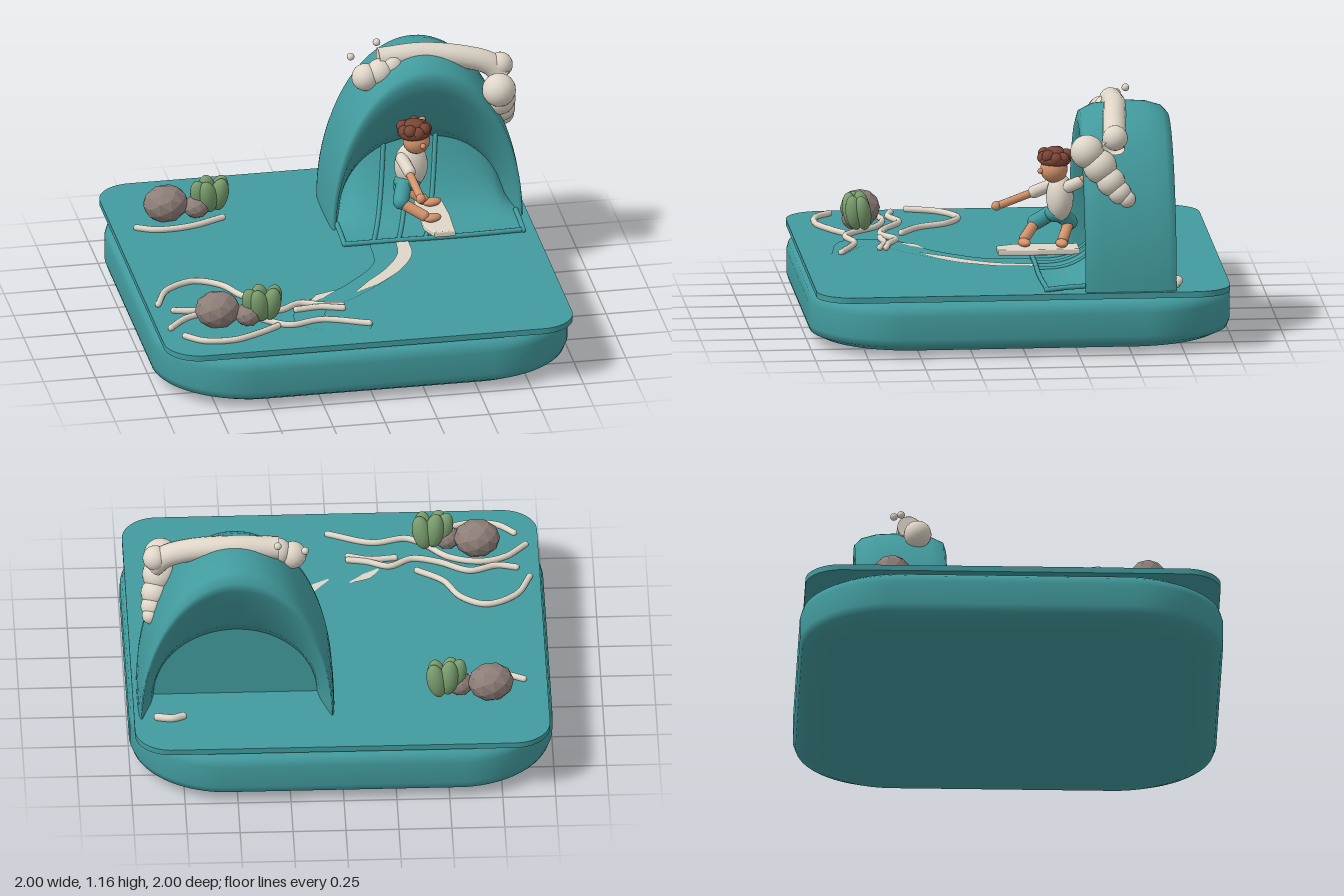
import * as THREE from 'three';
import { mergeVertices } from 'three/addons/utils/BufferGeometryUtils.js';

const paint = (name, color, side = THREE.FrontSide) => {
  const m = new THREE.MeshStandardMaterial({ color, side });
  m.name = name;
  return m;
};
const V = (p) => new THREE.Vector3(...p);

export function createModel() {
  const water = paint('water teal', 0x429b9e, THREE.DoubleSide);
  const foam = paint('foam cream', 0xdfd6c8, THREE.DoubleSide);
  const skin = paint('skin', 0xd4936c);
  const hair = paint('hair brown', 0x7a4636);
  const stone = paint('stone', 0x8e7e78);
  const leaf = paint('leaf green', 0x789c6c);
  const model = new THREE.Group();

  const group = (name, parent = model) => {
    const g = new THREE.Group();
    g.name = name;
    parent.add(g);
    return g;
  };
  const add = (parent, name, geo, mat) => {
    const m = new THREE.Mesh(geo, mat);
    m.name = name;
    parent.add(m);
    return m;
  };
  const ball = (parent, name, mat, p, r, rot = [0, 0, 0]) => {
    const m = add(parent, name, new THREE.SphereGeometry(1, 20, 14), mat);
    m.position.set(...p);
    m.scale.set(...(Array.isArray(r) ? r : [r, r, r]));
    m.rotation.set(...rot);
    return m;
  };
  const limb = (parent, name, mat, a, b, r) => {
    const d = V(b).sub(V(a));
    const m = add(parent, name, new THREE.CapsuleGeometry(r, d.length(), 5, 12), mat);
    m.position.copy(V(a)).addScaledVector(d, 0.5);
    m.quaternion.setFromUnitVectors(new THREE.Vector3(0, 1, 0), d.normalize());
    return m;
  };
  // Tube through points with rounded ends
  const rope = (parent, name, mat, pts, r) => {
    const curve = new THREE.CatmullRomCurve3(pts.map(V));
    add(parent, name, new THREE.TubeGeometry(curve, pts.length * 7, r, 10), mat);
    [pts[0], pts[pts.length - 1]].forEach((p) => ball(parent, name + 'End', mat, p, r));
  };
  // Smooth surface grid from a rule f(i, j) -> [x, y, z]
  const grid = (f, nu, nv) => {
    const pos = [], idx = [];
    for (let i = 0; i <= nu; i++) for (let j = 0; j <= nv; j++) pos.push(...f(i, j));
    for (let i = 0; i < nu; i++) for (let j = 0; j < nv; j++) {
      const a = i * (nv + 1) + j, b = a + nv + 1;
      idx.push(a, a + 1, b, b, a + 1, b + 1);
    }
    const g = new THREE.BufferGeometry();
    g.setAttribute('position', new THREE.Float32BufferAttribute(pos, 3));
    g.setIndex(idx);
    const merged = mergeVertices(g, 1e-5);
    merged.computeVertexNormals();
    return merged;
  };

  // Pillowy base: rounded squares stacked along a profile of [height, scale]
  const profile = [[0, 0], [0, 0.72], [0.01, 0.85], [0.028, 0.94], [0.055, 0.988], [0.09, 1],
    [0.2, 1], [0.235, 0.99], [0.255, 0.965], [0.268, 0.9], [0.27, 0.7], [0.27, 0]];
  add(model, 'base', grid((i, j) => {
    const a = (((i % 64) + 0.5) / 64) * Math.PI * 2, [y, s] = profile[j];
    const c = Math.cos(a), d = Math.sin(a);
    return [s * (Math.sign(c) * 0.55 + 0.45 * c), y, s * (Math.sign(d) * 0.55 + 0.45 * d)];
  }, 64, profile.length - 1), water);

  // Flat sea surface slab
  const sq = new THREE.Shape();
  [[1, 1], [-1, 1], [-1, -1], [1, -1]].forEach(([x, y], k) =>
    sq.absarc(x * 0.81, y * 0.81, 0.17, (k * Math.PI) / 2, ((k + 1) * Math.PI) / 2));
  sq.closePath();
  const slab = add(model, 'seaSurface', new THREE.ExtrudeGeometry(sq, {
    depth: 0.028, bevelEnabled: false, curveSegments: 10 }), water);
  slab.rotation.x = -Math.PI / 2;
  slab.position.y = 0.267;

  // Wave arch: section of [inward blend, z] swept round from foot to foot
  const wave = group('wave');
  const section = [[0, -0.5], [0.015, -0.61], [0.06, -0.68], [0.14, -0.715], [0.24, -0.71],
    [0.45, -0.66], [0.8, -0.58], [1, -0.5], [0.8, -0.43], [0.55, -0.36], [0.34, -0.3],
    [0.2, -0.283], [0.1, -0.295], [0.03, -0.36], [0, -0.5]];
  add(wave, 'waveArch', grid((i, j) => {
    const t = (i / 48) * Math.PI, [m, z] = section[j];
    const w = THREE.MathUtils.lerp(0.465, 0.385, m), h = THREE.MathUtils.lerp(0.83, 0.36, m);
    return [0.495 + w * Math.cos(t), 0.29 + h * Math.sin(t), z];
  }, 48, section.length - 1), water);

  // Back wall and the curved face running up to it
  const wall = new THREE.Shape();
  wall.absellipse(0.495, 0.29, 0.4, 0.37, 0, Math.PI);
  add(wave, 'waveBackWall', new THREE.ShapeGeometry(wall, 24), water).position.z = -0.505;
  const face = (x, s) => {
    const k = (x - 0.495) / 0.4;
    return [x, 0.305 + 0.02 * s + 0.33 * Math.sqrt(Math.max(0, 1 - k * k)) * s ** 3, -0.1 - 0.39 * s];
  };
  add(wave, 'waveFace', grid((i, j) => face(0.06 + (0.86 * i) / 30, j / 16), 30, 16), water);
  rope(wave, 'waveLip', water, [[0.06, 0.305, -0.1], [0.3, 0.305, -0.1], [0.6, 0.305, -0.095], [0.92, 0.305, -0.105]], 0.012);
  [0.06, 0.92].forEach((x) => rope(wave, 'waveSideEdge', water, [[x, 0.305, -0.1], [x, 0.315, -0.2], [x, 0.32, -0.3]], 0.012));
  [0.2, 0.32, 0.45].forEach((x) => rope(wave, 'waveRib', water,
    [0, 0.25, 0.5, 0.7, 0.85, 1].map((s) => face(x + 0.12 * s, s)), 0.011));

  // Foam along the crest
  const crest = group('foamCrest');
  const crestLine = new THREE.CatmullRomCurve3([[0.29, 1.085, -0.46], [0.5, 1.095, -0.46],
    [0.7, 1.07, -0.44], [0.82, 1.03, -0.43], [0.88, 0.97, -0.42]].map(V));
  add(crest, 'crestRoll', new THREE.TubeGeometry(crestLine, 30, 0.055, 14), foam);
  const cap = add(crest, 'crestCap', new THREE.CircleGeometry(0.055, 14), foam);
  cap.position.set(0.29, 1.085, -0.46);
  cap.rotation.y = -Math.PI / 2;
  [[0.22, 1.015, -0.42, 0.065], [0.29, 1.035, -0.42, 0.065], [0.35, 1.06, -0.43, 0.055],
    [0.87, 1.02, -0.43, 0.06], [0.84, 0.95, -0.3, 0.08], [0.85, 0.88, -0.36, 0.08],
    [0.87, 0.81, -0.41, 0.068], [0.885, 0.76, -0.45, 0.055], [0.895, 0.73, -0.485, 0.04],
    [0.165, 1.09, -0.5, 0.018], [0.295, 1.14, -0.53, 0.018],
  ].forEach(([x, y, z, r]) => ball(crest, 'foamBlob', foam, [x, y, z], r));
  rope(crest, 'backFoam', foam, [[0.75, 0.31, -0.715], [0.8, 0.315, -0.74], [0.87, 0.31, -0.72]], 0.018);

  // Thin wakes lying on the sea
  const ribbon = (name, mat, pts, y) => {
    const c = new THREE.CatmullRomCurve3(pts.map(([x, z]) => new THREE.Vector3(x, y, z)));
    const n = 40;
    add(model, name, grid((i, j) => {
      const u = i / n, p = c.getPoint(u), t = c.getTangent(u);
      const f = u * (pts.length - 1), k = Math.min(Math.floor(f), pts.length - 2);
      const w = THREE.MathUtils.lerp(pts[k][2], pts[k + 1][2], f - k) * (j - 0.5);
      return [p.x - t.z * w, y, p.z + t.x * w];
    }, n, 1), mat);
  };
  ribbon('wake', water, [[0.27, -0.1, 0.18], [0.22, 0.15, 0.14], [0, 0.4, 0.12], [-0.22, 0.56, 0.14], [-0.24, 0.7, 0.16], [0.02, 0.81, 0.06]], 0.298);
  ribbon('wakeFoam', foam, [[0.335, -0.09, 0.06], [0.32, 0.05, 0.07], [0.24, 0.2, 0.07], [0.12, 0.33, 0.06], [0.02, 0.42, 0.01]], 0.301);
  ribbon('wakeFoamPatch', foam, [[-0.08, 0.39, 0.01], [-0.16, 0.44, 0.05], [-0.22, 0.5, 0.01]], 0.301);

  // Foam lines round the rocks
  const ripples = group('ripples');
  [
    [[-0.93, 0.4], [-0.86, 0.25], [-0.72, 0.175], [-0.6, 0.24], [-0.52, 0.38], [-0.4, 0.47]],
    [[-0.87, 0.48], [-0.78, 0.5], [-0.65, 0.46], [-0.5, 0.54], [-0.38, 0.57], [-0.27, 0.51], [-0.17, 0.55], [-0.08, 0.57]],
    [[-0.92, 0.67], [-0.82, 0.57], [-0.7, 0.535], [-0.55, 0.58], [-0.45, 0.68], [-0.36, 0.74], [-0.2, 0.71], [0.01, 0.79]],
    [[-0.87, 0.77], [-0.79, 0.84], [-0.65, 0.855], [-0.5, 0.79], [-0.42, 0.74]],
    [[-0.3, 0.58], [-0.18, 0.57], [-0.08, 0.6]],
    [[-0.87, -0.46], [-0.78, -0.42], [-0.62, -0.43], [-0.45, -0.5]],
  ].forEach((l) => rope(ripples, 'ripple', foam, l.map(([x, z]) => [x, 0.308, z]), 0.015));

  // Two clumps of faceted rocks and leaves
  [[-0.71, -0.57, 0.15], [-0.69, 0.64, 0]].forEach(([x, z, turn]) => {
    const clump = group('rockClump');
    clump.position.set(x, 0.3, z);
    clump.rotation.y = turn;
    [[0, 0.07, 0, 0.11, 0.09, 0.095], [0.14, 0.05, 0.04, 0.065, 0.055, 0.06]].forEach(([a, b, c, ...s]) => {
      const g = new THREE.IcosahedronGeometry(1, 1);
      g.computeVertexNormals();
      const rock = add(clump, 'rock', g, stone);
      rock.position.set(a, b, c);
      rock.scale.set(...s);
    });
    [[0.2, 0.11, 0.01, 0.1], [0.25, 0.1, 0.05, -0.12], [0.19, 0.1, 0.06, 0.2], [0.16, 0.1, 0.035, 0.3], [0.26, 0.1, 0.01, -0.2]]
      .forEach(([a, b, c, tilt]) => ball(clump, 'leaf', leaf, [a, b, c], [0.045, 0.085, 0.04], [0.15, 0, tilt]));
  });

  // Surfboard
  const board = new THREE.Shape([[-0.065, -0.1], [-0.055, 0.19], [0.06, 0.19], [0.068, 0], [0.06, -0.185], [-0.03, -0.185]]
    .map((p) => new THREE.Vector2(...p)));
  const bm = add(model, 'surfboard', new THREE.ExtrudeGeometry(board, {
    depth: 0.016, bevelThickness: 0.006, bevelSize: 0.006, bevelSegments: 3 }), foam);
  bm.rotation.x = -Math.PI / 2;
  bm.position.set(0.49, 0.4, -0.095);

  // Surfer
  const surfer = group('surfer');
  ball(surfer, 'shirt', foam, [0.4, 0.64, -0.21], [0.08, 0.115, 0.065]);
  ball(surfer, 'head', skin, [0.42, 0.78, -0.18], 0.065);
  ball(surfer, 'nose', skin, [0.44, 0.775, -0.115], 0.014);
  ball(surfer, 'hairCap', hair, [0.41, 0.825, -0.185], [0.082, 0.04, 0.078]);
  for (let k = 0; k < 9; k++) {
    const a = (k / 9) * Math.PI * 2;
    ball(surfer, 'curl', hair, [0.41 + 0.055 * Math.cos(a), 0.835 + 0.012 * (k % 2), -0.185 + 0.055 * Math.sin(a)], 0.03);
  }
  ball(surfer, 'topCurl', hair, [0.41, 0.858, -0.185], [0.05, 0.028, 0.05]);
  limb(surfer, 'frontSleeve', foam, [0.35, 0.69, -0.18], [0.37, 0.66, -0.09], 0.03);
  limb(surfer, 'frontForearm', skin, [0.37, 0.652, -0.07], [0.39, 0.605, 0.07], 0.019);
  ball(surfer, 'frontHand', skin, [0.39, 0.6, 0.09], 0.023);
  limb(surfer, 'backSleeve', foam, [0.44, 0.69, -0.23], [0.46, 0.72, -0.29], 0.03);
  limb(surfer, 'backForearm', skin, [0.46, 0.73, -0.3], [0.49, 0.78, -0.41], 0.019);
  ball(surfer, 'backHand', skin, [0.49, 0.785, -0.43], 0.023);
  ball(surfer, 'shorts', water, [0.38, 0.56, -0.2], [0.065, 0.045, 0.06]);
  limb(surfer, 'frontThigh', water, [0.36, 0.56, -0.18], [0.33, 0.505, -0.1], 0.038);
  limb(surfer, 'frontShin', skin, [0.35, 0.49, -0.085], [0.43, 0.45, -0.04], 0.026);
  ball(surfer, 'frontFoot', skin, [0.47, 0.438, -0.035], [0.045, 0.02, 0.028], [0, 0.3, 0]);
  limb(surfer, 'backThigh', water, [0.39, 0.55, -0.22], [0.36, 0.51, -0.26], 0.038);
  limb(surfer, 'backShin', skin, [0.38, 0.5, -0.25], [0.46, 0.45, -0.22], 0.026);
  ball(surfer, 'backFoot', skin, [0.5, 0.438, -0.21], [0.045, 0.02, 0.028], [0, 0.2, 0]);
  return model;
}
